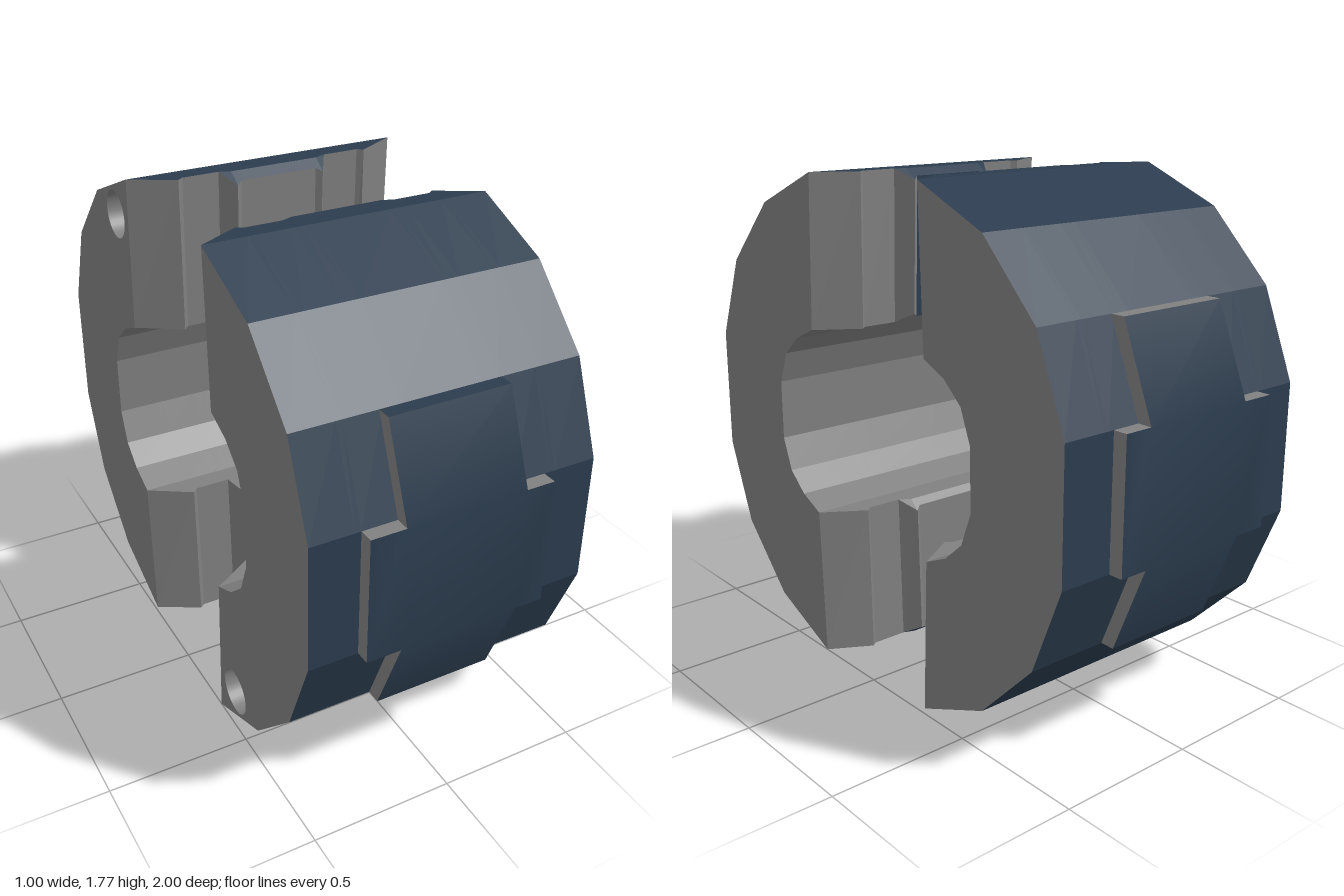
import * as THREE from 'three';
import { mergeGeometries, mergeVertices } from 'three/addons/utils/BufferGeometryUtils.js';

// End-face stations across the width: [x, depth at rim, depth at bore]
const half = [[0.14, 0.18, 0.195], [0.16, 0.165, 0.18], [0.2, 0.23, 0.245],
  [0.33, 0.23, 0.245], [0.35, 0.215, 0.225], [0.5, 0.3, 0.32]];
const stations = [...half.map(([x, a, b]) => [-x, a, b]).reverse(), ...half];

// Profile points [z, y] measured from the ring axis
const rim = [[0.3, 0.8775], [0.6, 0.7525], [0.83, 0.52], [0.95, 0.22]];
const bore = [[0.32, 0.3375], [0.42, 0.2925], [0.5, 0.2225], [0.545, 0.1075]];
const mirror = (pts) => pts.map(([z, y]) => [z, -y]);
const reverse = (pts) => pts.slice().reverse();

const rimTip = ([, d]) => [d, 0.8775 - Math.max(0, 0.215 - d) * 0.7];
const boreTip = ([, , d]) => [d, 0.3375 + Math.max(0, 0.22 - d) * 0.875];

// Profiles run counter-clockwise so that every strip faces outwards
function rimLine(s) {
  const top = [rimTip(s), [Math.max(s[1], 0.215), 0.8775], ...rim];
  return [...mirror(top), ...reverse(top)];
}
function boreLine(s) {
  const top = [boreTip(s), [Math.max(s[2], 0.22), 0.3375], ...bore];
  return [...top, ...reverse(mirror(top))];
}
const upperEnd = (s) => [rimTip(s), boreTip(s)];
const lowerEnd = (s) => reverse(mirror(upperEnd(s)));

// Flat-faceted strip joining one profile line per station
function strip(list, line) {
  const pos = [];
  const rows = list.map((s) => line(s).map(([z, y]) => [s[0], y, z]));
  for (let i = 0; i + 1 < rows.length; i++) {
    for (let j = 0; j + 1 < rows[i].length; j++) {
      const a = rows[i][j], b = rows[i + 1][j], c = rows[i + 1][j + 1], d = rows[i][j + 1];
      pos.push(...a, ...b, ...c, ...a, ...c, ...d);
    }
  }
  const g = new THREE.BufferGeometry();
  g.setAttribute('position', new THREE.Float32BufferAttribute(pos, 3));
  g.computeVertexNormals();
  return g;
}

// Joins strips into one smoothly shaded surface
function smooth(strips) {
  const g = mergeGeometries(strips);
  g.deleteAttribute('normal');
  const merged = mergeVertices(g);
  merged.computeVertexNormals();
  return merged;
}

// Flat side wall at x, facing dir, with an optional round hole
function wall(pts, x, dir, hole) {
  const shape = new THREE.Shape(pts.map(([z, y]) => new THREE.Vector2(-dir * z, y)));
  if (hole) {
    const p = new THREE.Path();
    p.absarc(-dir * hole.z, hole.y, hole.r, 0, Math.PI * 2, true);
    shape.holes.push(p);
  }
  return new THREE.ShapeGeometry(shape, 16).rotateY(dir * Math.PI / 2).translate(x, 0, 0);
}

export function createModel() {
  const blue = new THREE.MeshStandardMaterial({ color: 0x2b3c4e });
  const grey = new THREE.MeshStandardMaterial({ color: 0x808080, side: THREE.DoubleSide });
  blue.name = 'dark blue';
  grey.name = 'grey';

  function makeHalf(name) {
    const group = new THREE.Group();
    group.name = name;
    const add = (part, geo, mat) => {
      const m = new THREE.Mesh(geo, mat);
      m.name = part;
      group.add(m);
    };

    // Ring body
    add('outerShell', strip(stations, rimLine), blue);
    add('bore', strip(stations, boreLine), grey);
    add('lowerEndFace', strip(stations, lowerEnd), grey);
    add('upperEndFaceRight', strip(stations.slice(0, 6), upperEnd), grey);
    add('upperEndFaceLeft', strip(stations.slice(6), upperEnd), grey);
    add('upperEndPanel', strip(stations.slice(5, 7), upperEnd), blue);

    // Side walls, one with a blind bolt hole
    const outline = [...mirror(rim), ...reverse(rim), ...bore, ...reverse(mirror(bore))];
    const hole = { z: 0.424, y: -0.72, r: 0.083 };
    add('leftWall', wall(outline, 0.5, 1), grey);
    add('rightWall', wall(outline, -0.5, -1, hole), grey);
    add('boltHole', new THREE.CylinderGeometry(hole.r, hole.r, 0.3, 32, 1, true)
      .rotateZ(Math.PI / 2).translate(-0.35, hole.y, hole.z), grey);
    add('boltHoleFloor', new THREE.CircleGeometry(hole.r, 32)
      .rotateY(-Math.PI / 2).translate(-0.2, hole.y, hole.z), grey);

    // Raised cross-shaped plate
    const armSide = [[0.83, 0.52], [0.95, 0.22], [1, 0.22], [0.88, 0.52]];
    const midSide = [[0.95, -0.22], [1, -0.22], [1, 0.22], [0.95, 0.22]];
    const narrow = [[-0.21], [0.21]], wide = [[-0.33], [0.31]];
    const middle = () => [[1, -0.22], [1, 0.22]];
    add('plateFace', smooth([
      strip(narrow, () => [[0.88, -0.52], ...middle(), [0.88, 0.52]]),
      strip([wide[0], narrow[0]], middle),
      strip([narrow[1], wide[1]], middle),
    ]), blue);
    add('plateUpperEdge', strip(narrow, () => [[0.88, 0.52], [0.83, 0.52]]), blue);
    add('plateLowerEdge', strip(narrow, () => [[0.83, -0.52], [0.88, -0.52]]), grey);
    add('plateMiddleTop', strip(wide, () => [[1, 0.22], [0.95, 0.22]]), grey);
    add('plateMiddleBottom', strip(wide, () => [[0.95, -0.22], [1, -0.22]]), grey);
    for (const k of [0, 1]) {
      const dir = k ? 1 : -1;
      add('plateArmSide', wall(armSide, narrow[k][0], dir), grey);
      add('plateArmSide', wall(mirror(armSide), narrow[k][0], dir), grey);
      add('plateMiddleSide', wall(midSide, wide[k][0], dir), grey);
    }
    return group;
  }

  // The back half is the front half turned over about the ring axis
  const model = new THREE.Group();
  model.name = 'splitRing';
  const front = makeHalf('frontHalf');
  front.position.y = 0.8775;
  const back = makeHalf('backHalf');
  back.rotation.x = Math.PI;
  back.position.y = 0.8975;
  model.add(front, back);
  return model;
}
